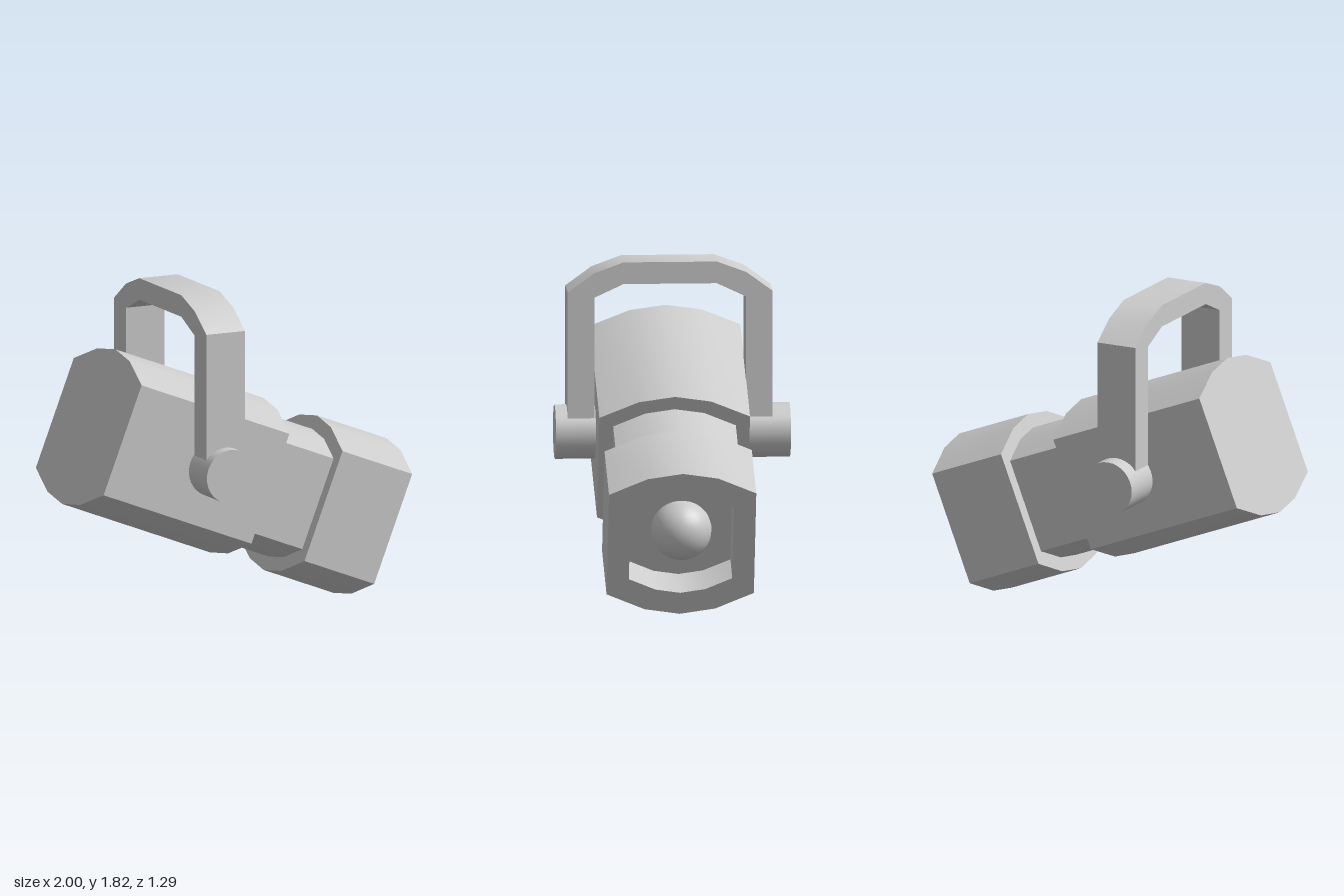
import * as THREE from 'three';
import { toCreasedNormals } from 'three/addons/utils/BufferGeometryUtils.js';

const material = new THREE.MeshStandardMaterial({ color: 0xcccccc });
const TILT = 0.374; // downward tilt of the lamp
const AXIS_Y = 0.7; // height of the lamp axis in its tilted frame
const CENTRE_Z = 0.01;

function addMesh(parent, name, geometry) {
  const mesh = new THREE.Mesh(geometry, material);
  mesh.name = name;
  parent.add(mesh);
  return mesh;
}

// Cross-section: straight sides with shallow arches above and below
function section(halfWidth, scale) {
  const w = halfWidth, s = scale;
  const top = [[w, 0.32 * s], [w * 0.48, 0.418 * s], [0, 0.45 * s], [-w * 0.48, 0.418 * s], [-w, 0.32 * s]];
  const bottom = top.map(([z, y]) => [-z, -y]);
  return [...top, ...bottom].map(([z, y]) => new THREE.Vector2(z, y));
}

// Extrude a (z, y) outline along x from x0 to x1
function extrudeX(points, x0, x1, hole) {
  const shape = new THREE.Shape(points);
  if (hole) shape.holes.push(new THREE.Path(hole));
  const geometry = new THREE.ExtrudeGeometry(shape, { depth: x1 - x0, bevelEnabled: false });
  geometry.rotateY(-Math.PI / 2).translate(x1, 0, 0);
  return toCreasedNormals(geometry, Math.PI / 6);
}

export function createModel() {
  const model = new THREE.Group();
  model.name = 'spotlight';

  // Tilted lamp: housing, neck, hollow front hood and bulb
  const lamp = new THREE.Group();
  lamp.name = 'lamp';
  lamp.rotation.z = -TILT;
  model.add(lamp);
  const barrel = new THREE.Group();
  barrel.name = 'barrel';
  barrel.position.set(0, AXIS_Y, CENTRE_Z);
  lamp.add(barrel);

  addMesh(barrel, 'housing', extrudeX(section(0.415, 1), -1.172, -0.194));
  // The neck runs into the hood and forms the floor of its recess
  addMesh(barrel, 'neck', extrudeX(section(0.338, 0.825), -0.25, 0.423));
  addMesh(barrel, 'hood', extrudeX(section(0.406, 1), 0.162, 0.623, section(0.285, 0.7)));
  const bulb = addMesh(barrel, 'bulb', new THREE.SphereGeometry(0.167, 24, 16));
  bulb.position.set(0.465, -0.005, -0.008);

  // Pivot pin through the housing
  const pin = addMesh(model, 'pivotPin', new THREE.CylinderGeometry(0.15, 0.15, 1.295, 32));
  pin.rotation.x = Math.PI / 2;
  pin.position.set(-0.277, 0.865, -0.002);

  // Yoke: one half of the outline, mirrored
  const outer = [[0.565, 0.95], [0.565, 1.66], [0.42, 1.766], [0.257, 1.826]];
  const inner = [[0.257, 1.705], [0.418, 1.63], [0.418, 0.95]];
  const mirror = (half) => half.map(([z, y]) => [-z, y]).reverse();
  const outline = [...outer, ...mirror(outer), ...mirror(inner), ...inner]
    .map(([z, y]) => new THREE.Vector2(z, y));
  const yoke = addMesh(model, 'yoke', extrudeX(outline, -0.397, -0.16));
  yoke.position.z = 0.015;

  return model;
}
